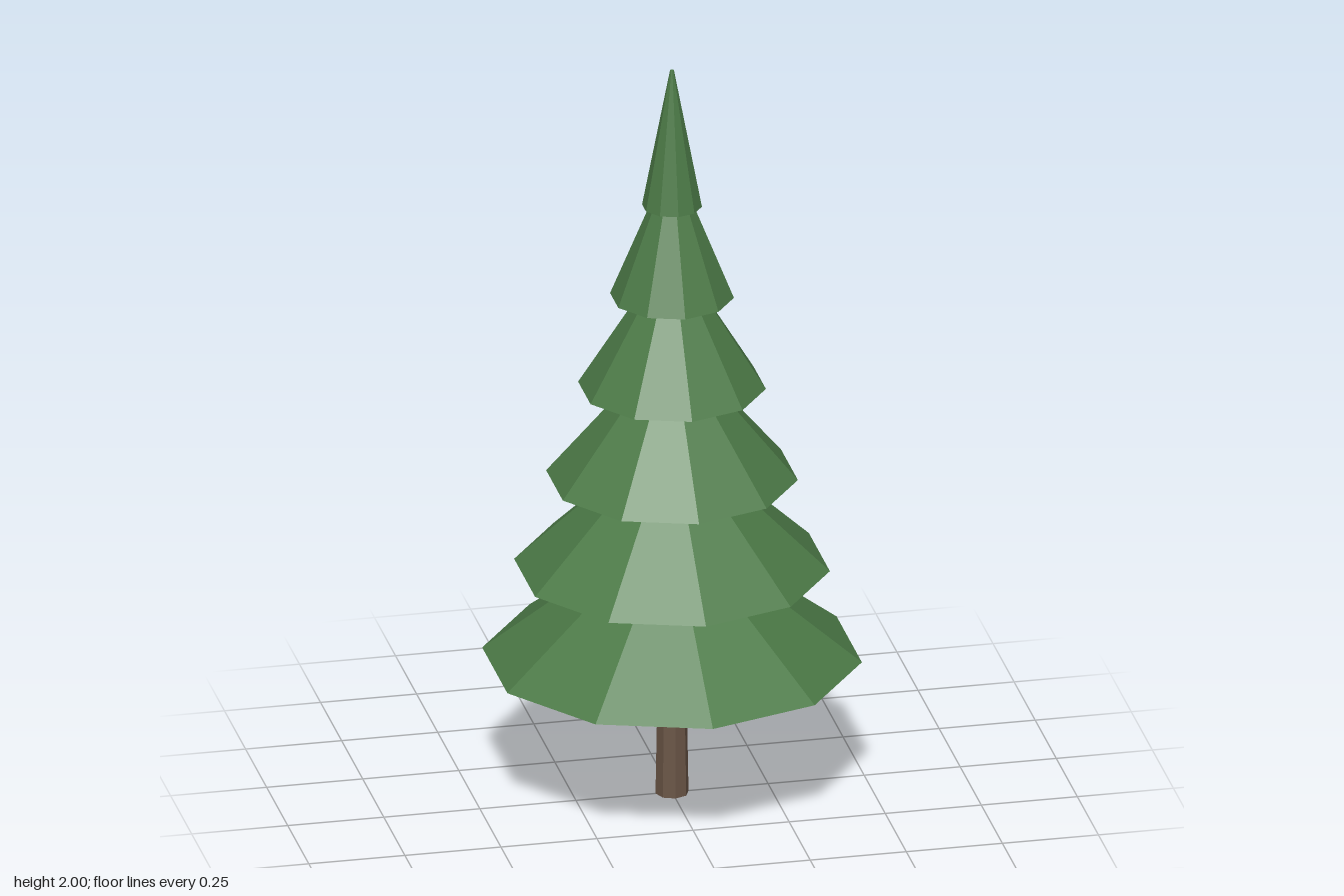
import * as THREE from 'three';

export function createModel() {
  const tree = new THREE.Group();
  tree.name = 'pineTree';

  const needleGreen = new THREE.MeshStandardMaterial({ name: 'needleGreen', color: 0x4c7a47, flatShading: true });
  const barkBrown = new THREE.MeshStandardMaterial({ name: 'barkBrown', color: 0x6b5647, flatShading: true });

  // Tapered cylinder standing on the given height
  const addTaper = (name, material, topRadius, bottomRadius, height, sides, baseY) => {
    const geometry = new THREE.CylinderGeometry(topRadius, bottomRadius, height, sides);
    geometry.translate(0, baseY + height / 2, 0);
    const mesh = new THREE.Mesh(geometry, material);
    mesh.name = name;
    tree.add(mesh);
  };

  // Trunk, reaching a little way into the lowest tier
  addTaper('trunk', barkBrown, 0.035, 0.043, 0.44, 8, 0);

  // Six ten-sided branch tiers, evenly spaced and shrinking to the tip
  const tiers = 6;
  for (let i = 0; i < tiers; i++) {
    const radius = 0.485 - i * 0.0817;
    const baseY = 0.38 + i * 0.249;
    addTaper(`branchTier${i + 1}`, needleGreen, 0.005, radius, 0.375, 10, baseY);
  }

  return tree;
}
